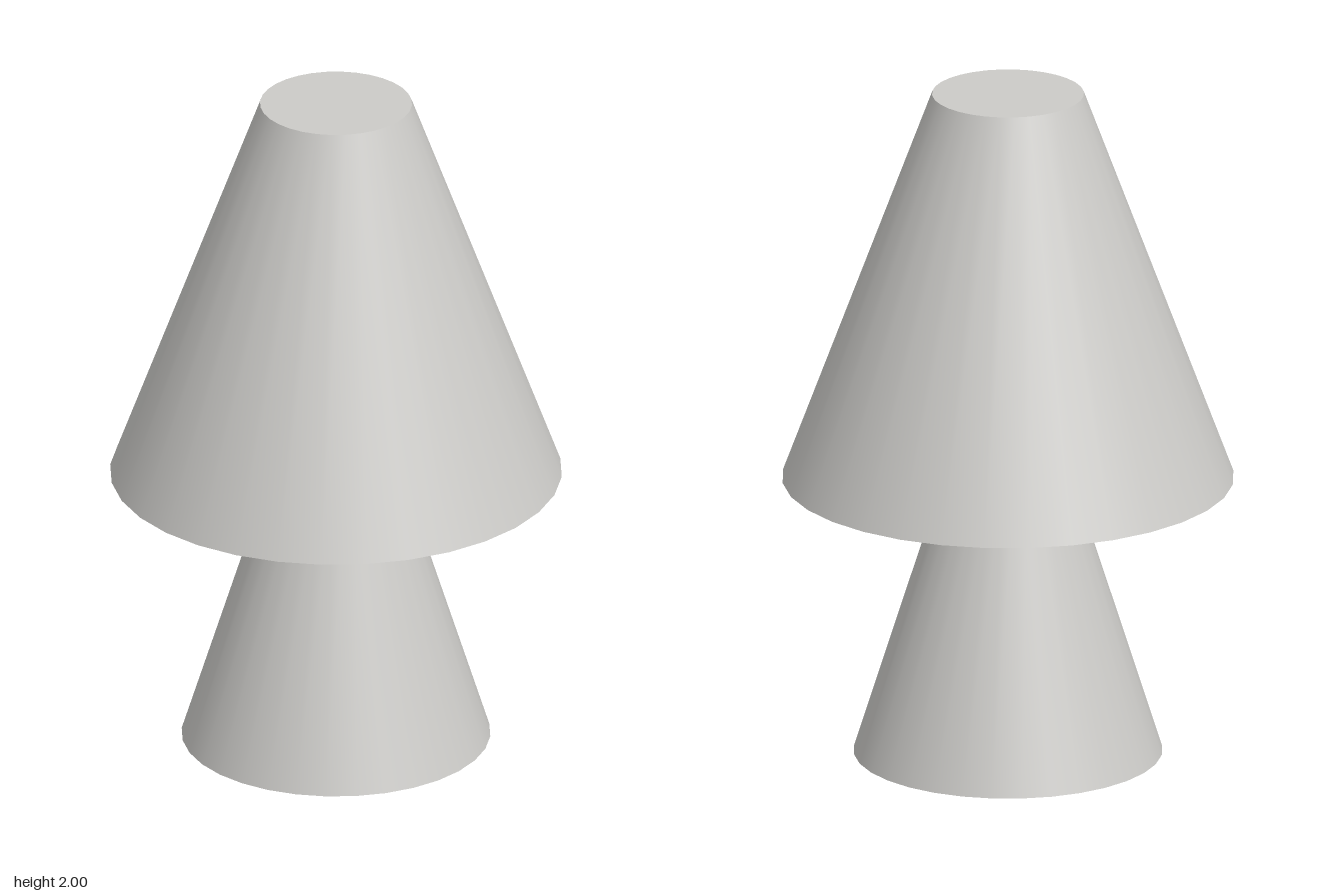
import * as THREE from 'three';

export function createModel() {
  const model = new THREE.Group();
  const paleGrey = new THREE.MeshStandardMaterial({ color: 0xcccbc8 });
  paleGrey.name = 'pale grey';

  // Closed, tapered round body standing between two heights
  function taper(name, topRadius, bottomRadius, y0, y1) {
    const geometry = new THREE.CylinderGeometry(topRadius, bottomRadius, y1 - y0, 32);
    const mesh = new THREE.Mesh(geometry, paleGrey);
    mesh.name = name;
    mesh.position.y = (y0 + y1) / 2;
    model.add(mesh);
  }

  taper('lampBase', 0.185, 0.447, 0, 0.832);
  taper('lampShade', 0.22, 0.654, 0.832, 2);

  return model;
}
